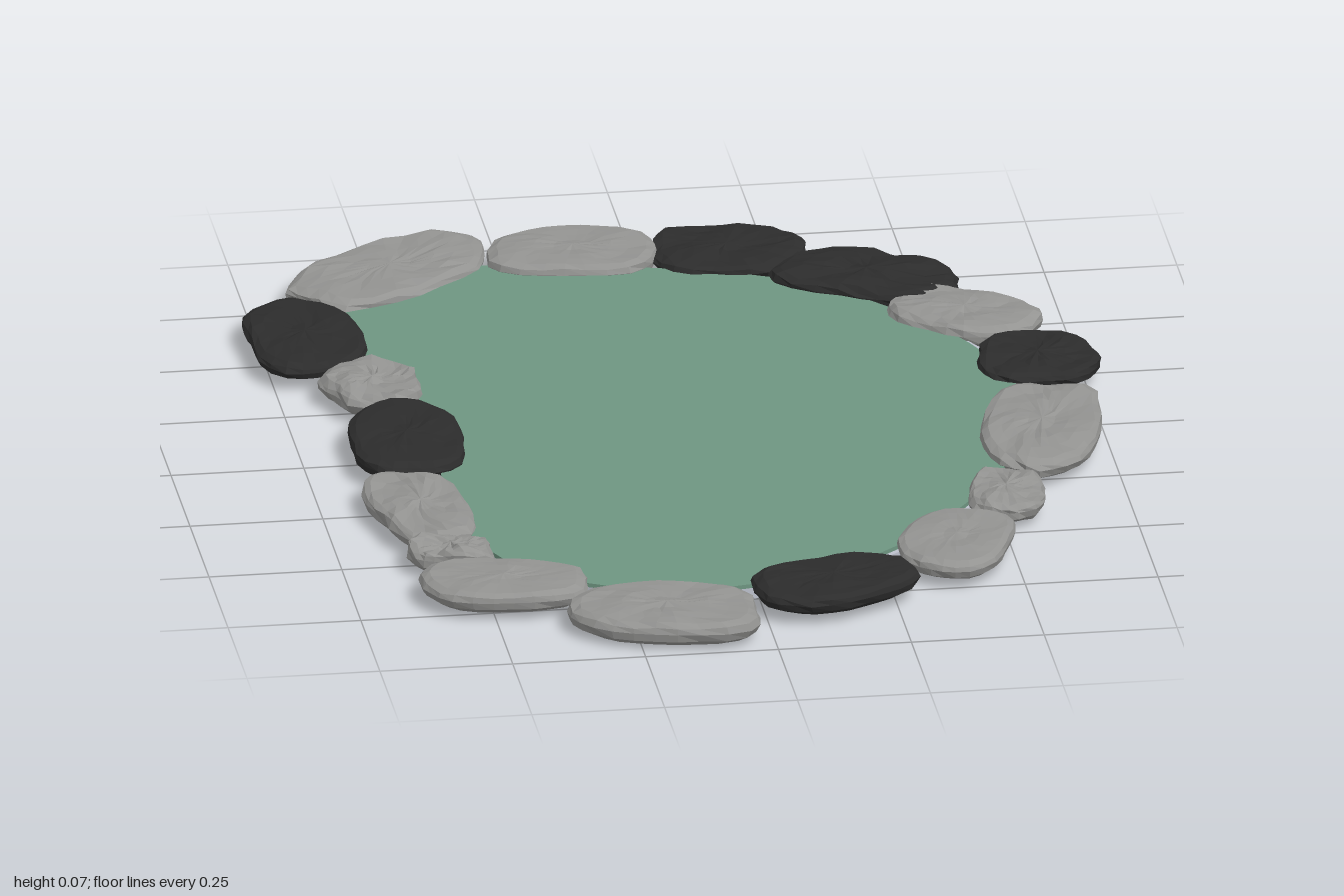
import * as THREE from 'three';

const colour = (name, hex, flat = false) => {
  const m = new THREE.MeshStandardMaterial({ color: hex, flatShading: flat });
  m.name = name;
  return m;
};

// Small seeded random generator
function seeded(seed) {
  let s = seed * 7919 + 17;
  return () => ((s = (s * 16807) % 2147483647) / 2147483647);
}

// Kidney-shaped pond outline, as x and z
const OUTLINE = [
  [-0.3, -0.84], [-0.1, -0.81], [0.1, -0.76], [0.28, -0.68], [0.43, -0.53], [0.55, -0.34],
  [0.61, -0.12], [0.59, 0.1], [0.52, 0.29], [0.43, 0.44], [0.31, 0.59], [0.17, 0.7],
  [0, 0.765], [-0.16, 0.775], [-0.32, 0.72], [-0.44, 0.61], [-0.5, 0.46], [-0.52, 0.28],
  [-0.51, 0.1], [-0.5, -0.1], [-0.53, -0.3], [-0.6, -0.48], [-0.63, -0.62], [-0.56, -0.73], [-0.45, -0.81],
];

// Flat slab following the pond outline, between two heights
function slab(y0, y1, scale, dx) {
  const curve = new THREE.CatmullRomCurve3(
    OUTLINE.map(([x, z]) => new THREE.Vector3(x * scale + dx, z * scale, 0)), true);
  const shape = new THREE.Shape(curve.getPoints(100).slice(0, -1).map(p => new THREE.Vector2(p.x, p.y)));
  const g = new THREE.ExtrudeGeometry(shape, { depth: y1 - y0, bevelEnabled: false });
  g.rotateX(Math.PI / 2);
  g.translate(0, y1, 0);
  return g;
}

// Stones: centre x, centre z, half width, half depth, turn, colour (0 grey, 1 dark), roughness
const STONES = [
  [-0.47, -0.83, 0.225, 0.115, -0.6, 0, 1],
  [-0.12, -0.87, 0.165, 0.108, 0.1, 0, 0.6],
  [0.165, -0.845, 0.145, 0.115, 0.2, 1, 1],
  [0.405, -0.68, 0.175, 0.105, 0.5, 1, 1.4],
  [0.56, -0.475, 0.145, 0.1, 0.65, 0, 1],
  [0.665, -0.245, 0.11, 0.122, 0, 1, 1.2],
  [0.625, 0.095, 0.108, 0.215, 0.22, 0, 1],
  [0.515, 0.395, 0.07, 0.105, 0.15, 0, 1.4],
  [0.39, 0.615, 0.1, 0.15, 0.4, 0, 0.5],
  [0.135, 0.785, 0.158, 0.105, -0.35, 1, 0.8],
  [-0.19, 0.865, 0.178, 0.118, 0.15, 0, 0.7],
  [-0.475, 0.7, 0.158, 0.098, 0.12, 0, 0.5],
  [-0.55, 0.535, 0.08, 0.055, 0.2, 0, 2],
  [-0.575, 0.31, 0.092, 0.172, -0.12, 0, 1.4],
  [-0.555, -0.015, 0.11, 0.17, 0.05, 1, 0.7],
  [-0.58, -0.29, 0.092, 0.103, -0.2, 0, 1.6],
  [-0.672, -0.535, 0.112, 0.172, -0.08, 1, 0.8],
];

// Cross-section of a stone, bottom to top: outline scale and height fraction
const RINGS = [
  [0, 0], [0.5, 0.01], [0.84, 0.1], [0.96, 0.3], [1, 0.58], [0.97, 0.82],
  [0.87, 0.96], [0.66, 0.98], [0.45, 1], [0.22, 0.98], [0, 1],
];

// Flat, irregular boulder made from rings of a wobbly rounded rectangle
function stoneGeometry(hx, hz, turn, y0, y1, rough, seed) {
  const rnd = seeded(seed);
  for (let i = 0; i < 5; i++) rnd();
  const N = 26;
  const p1 = rnd() * 6.28, p2 = rnd() * 6.28, p3 = rnd() * 6.28;
  const edge = Array.from({ length: N }, (_, i) => {
    const a = (i / N) * Math.PI * 2, c = Math.cos(a), s = Math.sin(a);
    const r = Math.pow(Math.abs(c) ** 2.7 + Math.abs(s) ** 2.7, -1 / 2.7);
    const k = r * (0.99 + 0.035 * Math.sin(2 * a + p1) + 0.03 * Math.sin(3 * a + p2)
      + 0.02 * Math.sin(5 * a + p3) + (rnd() - 0.5) * 0.045 * rough);
    return [c * k * hx, s * k * hz];
  });
  const pos = [], idx = [];
  const ct = Math.cos(turn), st = Math.sin(turn);
  RINGS.forEach(([scale, h], r) => {
    for (let i = 0; i < N; i++) {
      const k = scale * (1 + (rnd() - 0.5) * 0.05 * rough);
      const u = edge[i][0] * k, v = edge[i][1] * k;
      // Chipped ridges across the upper face
      const ridge = scale > 0 && r > 4
        ? 0.0025 * rough * Math.sin(u * 45 + v * 30 + p2) + (rnd() - 0.5) * 0.004 * rough - 0.002 : 0;
      pos.push(u * ct - v * st, y0 + (y1 - y0) * h + ridge, u * st + v * ct);
      if (r > 0) {
        const j = (i + 1) % N, a = (r - 1) * N, b = r * N;
        if (r < RINGS.length - 1) idx.push(a + i, b + i, b + j);
        if (r > 1) idx.push(a + i, b + j, a + j);
      }
    }
  });
  const g = new THREE.BufferGeometry();
  g.setAttribute('position', new THREE.Float32BufferAttribute(pos, 3));
  g.setIndex(idx);
  g.computeVertexNormals();
  return g;
}

export function createModel() {
  const pond = new THREE.Group();
  pond.name = 'pond';
  const stoneColours = [colour('greyStone', 0x939391, true), colour('darkStone', 0x2c2c2c, true)];
  const add = (name, geometry, material, parent = pond) => {
    const mesh = new THREE.Mesh(geometry, material);
    mesh.name = name;
    parent.add(mesh);
    return mesh;
  };

  // Pale liner under the water
  add('liner', slab(0.008, 0.03, 0.995, 0.02), colour('paleLiner', 0xbdc1cd));
  // Water sheet
  add('water', slab(0.03, 0.038, 1, 0), colour('greenWater', 0x6e9581));

  // Ring of stones around the rim
  const rim = new THREE.Group();
  rim.name = 'stoneRim';
  pond.add(rim);
  STONES.forEach(([x, z, hx, hz, turn, tone, rough], i) => {
    const y0 = i === 10 ? 0 : tone ? 0.014 : 0.009;
    const y1 = 0.058 + 0.003 * Math.sin(i * 2.3);
    const g = stoneGeometry(hx, hz, turn, y0, y1, rough, i + 1);
    add('stone' + (i + 1), g, stoneColours[tone], rim).position.set(x, 0, z);
  });
  return pond;
}
